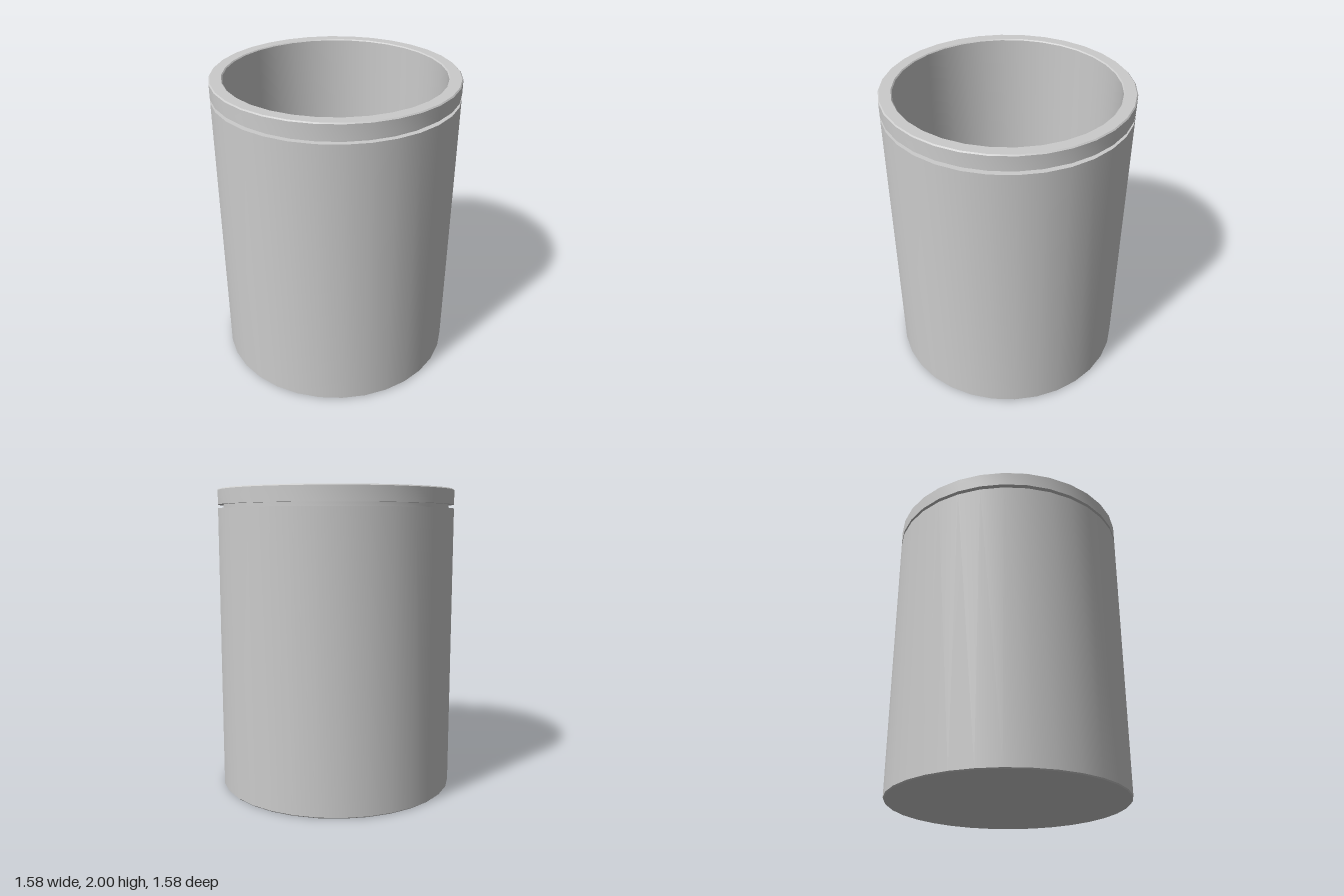
import * as THREE from 'three';
import { toCreasedNormals } from 'three/addons/utils/BufferGeometryUtils.js';

const SEGMENTS = 32;
const OUTER = 0.79, INNER = 0.705, NECK = 0.755;
const HEIGHT = 2, FLOOR = 0.08, BEVEL = 0.007;
const GROOVE_LOW = 1.875, GROOVE_HIGH = 1.9;

export function createModel() {
  const group = new THREE.Group();
  group.name = 'cup';
  const material = new THREE.MeshStandardMaterial({ color: 0xcccccc });

  // Each part is a turned section; together they make one closed wall
  const addTurned = (name, profile) => {
    const points = profile.map(([r, y]) => new THREE.Vector2(r, y));
    const geometry = toCreasedNormals(new THREE.LatheGeometry(points, SEGMENTS), 0.5);
    const mesh = new THREE.Mesh(geometry, material);
    mesh.name = name;
    group.add(mesh);
  };

  // Underside and outer wall, with a small bevel at the foot
  addTurned('body', [
    [0, 0], [OUTER - BEVEL, 0], [OUTER, BEVEL], [OUTER, GROOVE_LOW],
  ]);

  // Narrow recess below the rim
  addTurned('groove', [
    [OUTER, GROOVE_LOW], [NECK, GROOVE_LOW], [NECK, GROOVE_HIGH], [OUTER, GROOVE_HIGH],
  ]);

  // Top band with lightly bevelled edges
  addTurned('rim', [
    [OUTER, GROOVE_HIGH], [OUTER, HEIGHT - BEVEL], [OUTER - BEVEL, HEIGHT],
    [INNER + BEVEL, HEIGHT], [INNER, HEIGHT - BEVEL],
  ]);

  // Inner wall and floor
  addTurned('interior', [
    [INNER, HEIGHT - BEVEL], [INNER, FLOOR], [0, FLOOR],
  ]);

  return group;
}
